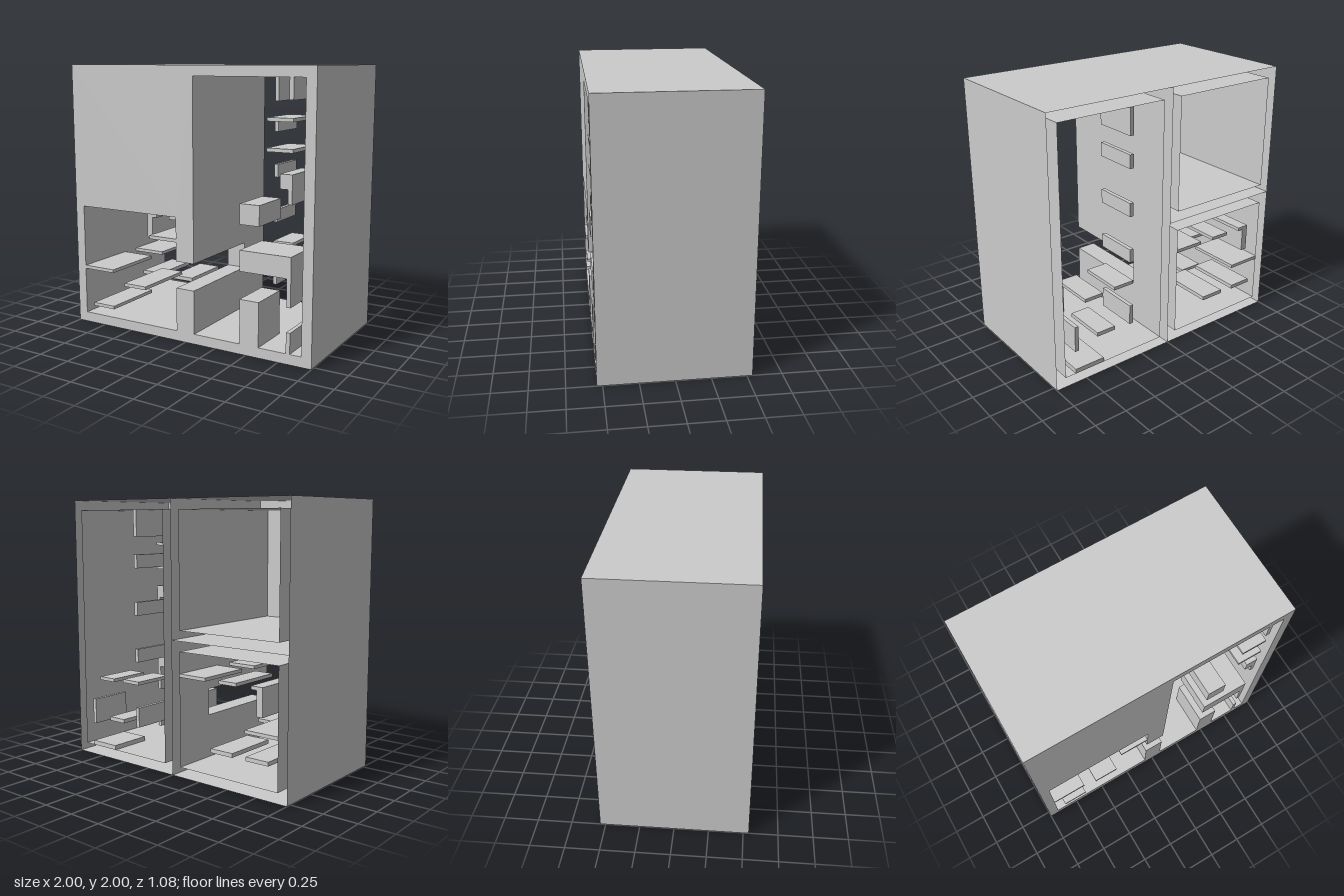
import * as THREE from 'three';

const W = 1, H = 2, D = 0.54, T = 0.075; // half width, height, half depth, wall thickness

export function createModel() {
  const model = new THREE.Group();
  const mat = new THREE.MeshStandardMaterial({ color: 0xcccccc, side: THREE.DoubleSide, flatShading: true });

  const add = (name, geo, parent = model) => {
    const m = new THREE.Mesh(geo, mat);
    m.name = name;
    parent.add(m);
    return m;
  };
  // Thin sheets: upright facing x, and level facing y
  const upright = (name, x, y0, y1, z0 = -D, z1 = D) => {
    const m = add(name, new THREE.PlaneGeometry(z1 - z0, y1 - y0).rotateY(Math.PI / 2));
    m.position.set(x, (y0 + y1) / 2, (z0 + z1) / 2);
  };
  const level = (name, y, x0, x1, z0 = -D, z1 = D) => {
    const m = add(name, new THREE.PlaneGeometry(x1 - x0, z1 - z0).rotateX(-Math.PI / 2));
    m.position.set((x0 + x1) / 2, y, (z0 + z1) / 2);
  };

  // Outer shell, open at the back
  upright('leftSide', W, 0, H);
  upright('rightSide', -W, 0, H);
  level('top', H, -W, W);
  level('base', 0, -W, W);

  // Front panel: two openings joined by a slot through the middle wall
  const front = new THREE.Shape([[-W, 0], [W, 0], [W, H], [-W, H]].map(p => new THREE.Vector2(...p)));
  const a = W - T, slot0 = 0.4, slot1 = 0.6, slotZ = -0.21;
  front.holes.push(new THREE.Path([
    [-a, T], [-T, T], [-T, slot0], [T, slot0], [T, T], [a, T],
    [a, H - T], [T, H - T], [T, slot1], [-T, slot1], [-T, W - T], [-a, W - T],
  ].map(p => new THREE.Vector2(...p))));
  add('frontPanel', new THREE.ShapeGeometry(front)).position.z = D;

  // Linings of the tall bay, lower bay and upper bay
  upright('tallBayOuterWall', a, T, H - T);
  level('tallBayCeiling', H - T, T, a);
  level('tallBayFloor', T, T, a);
  for (const [name, y0, y1] of [['lowerBay', T, W - T], ['upperBay', W + T, H - T]]) {
    upright(name + 'OuterWall', -a, y0, y1);
    level(name + 'Floor', y0, -a, -T);
    level(name + 'Ceiling', y1, -a, -T);
  }
  upright('upperBayInnerWall', -T, W + T, H - T);
  level('bayDivider', W, -W, 0);

  // Middle wall layers, cut by the slot in front of slotZ
  for (const [x, y0, y1] of [[-T, T, W - T], [0, 0, H], [T, T, H - T]]) {
    upright('middleWallLower', x, y0, slot0);
    upright('middleWallUpper', x, slot1, y1);
    upright('middleWallBehindSlot', x, slot0, slot1, -D, slotZ);
  }
  level('slotSill', slot0, -T, T, slotZ, D);
  level('slotHead', slot1, -T, T, slotZ, D);
  const end = add('slotEnd', new THREE.PlaneGeometry(2 * T, slot1 - slot0));
  end.position.set(0, (slot0 + slot1) / 2, slotZ);

  // Ledges and blocks as [x0, x1, y0, y1], all sharing a depth range
  const fill = (name, z0, z1, list) => {
    const group = new THREE.Group();
    group.name = name + 's';
    for (const [x0, x1, y0, y1] of list) {
      add(name, new THREE.BoxGeometry(x1 - x0, y1 - y0, z1 - z0), group)
        .position.set((x0 + x1) / 2, (y0 + y1) / 2, (z0 + z1) / 2);
    }
    model.add(group);
  };

  fill('tallBayFrontLedge', 0.21, D, [
    [0.45, 0.6, T, 0.4],
    [0.45, 0.84, 0.6, 0.75],
    [0.81, 0.84, 0.4, 0.6],
    [0.45, 0.6, 0.93, 1.075],
    [0.75, 0.81, 1.2, 1.3],
    [0.81, 0.84, 1.1, 1.3],
    [0.65, 0.84, 1.44, 1.465],
    [0.65, 0.84, 1.64, 1.665],
    [0.81, 0.84, 1.78, H - T],
    [0.81, 0.84, T, 0.225],
  ]);
  fill('tallBayBackLedge', -D, -0.21, [
    ...[[0.3, 0.45], [0.8, 0.9], [1.15, 1.25], [1.5, 1.6], [1.73, H - T]].map(y => [0.335, 0.365, ...y]),
    [0.335, 0.5, 0.625, 0.65],
    [0.6, 0.75, 0.615, 0.64],
    [0.5, 0.65, 0.305, 0.335],
    [0.6, 0.84, T, 0.11],
    [0.81, 0.84, 0.255, 0.45],
  ]);
  fill('lowerBayFrontLedge', 0.04, D, [
    [-a, -0.655, 0.43, 0.455],
    [-0.85, -0.655, 0.14, 0.165],
    [-0.55, -0.355, 0.34, 0.365],
    [-0.31, -T, 0.74, 0.765],
  ]);
  fill('lowerBayBackLedge', -D, -0.11, [
    [-a, -0.655, 0.43, 0.455],
    [-0.85, -0.665, 0.24, 0.27],
    [-0.55, -0.36, 0.24, 0.27],
    [-0.31, -T, 0.74, 0.765],
    [-0.58, -0.43, 0.74, 0.765],
    [-0.75, -0.705, 0.74, 0.765],
    [-0.8, -0.75, 0.56, 0.765],
  ]);

  return model;
}
